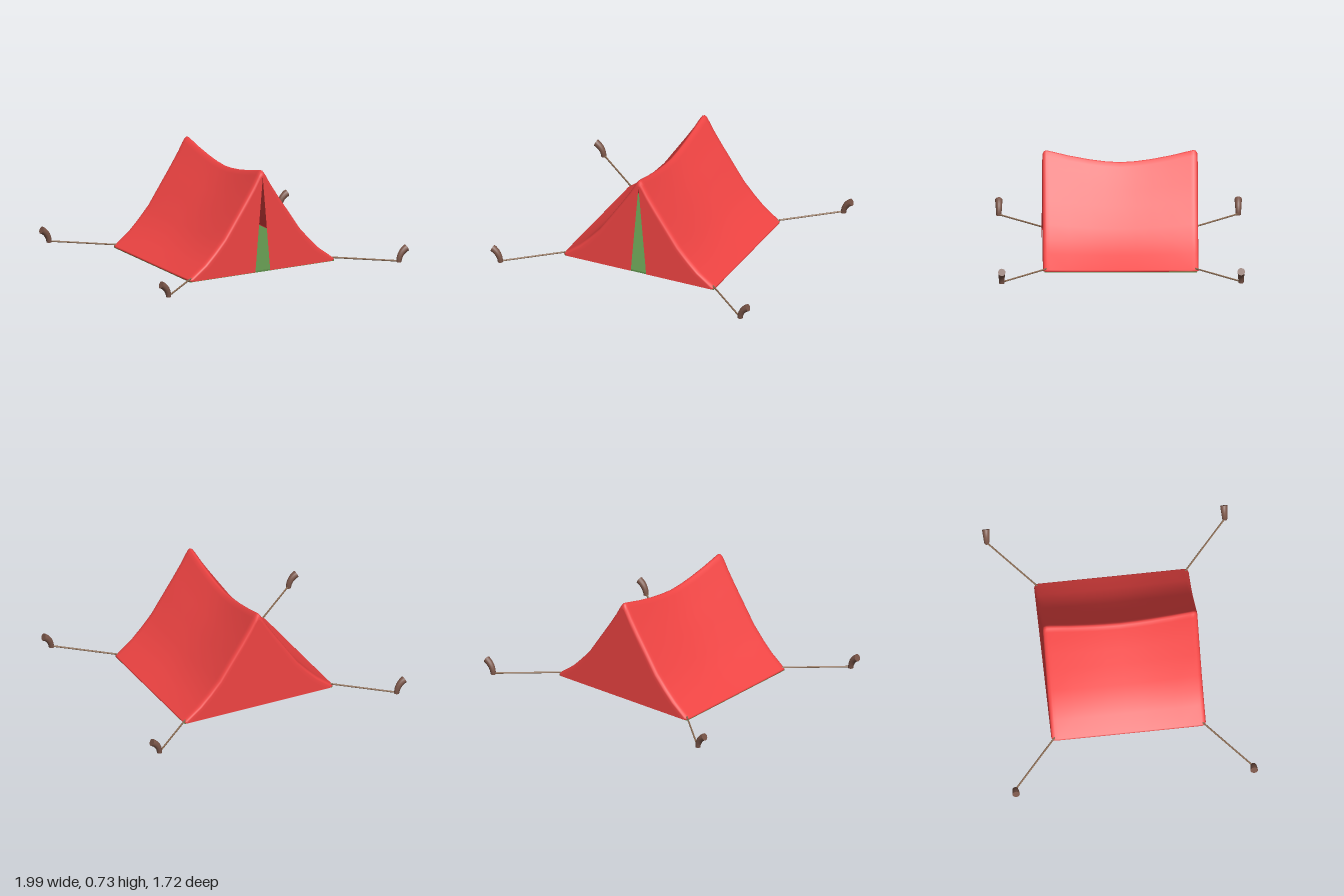
import * as THREE from 'three';
import { mergeVertices } from 'three/addons/utils/BufferGeometryUtils.js';

const red = new THREE.MeshStandardMaterial({ color: 0xf04443, side: THREE.DoubleSide });
const green = new THREE.MeshStandardMaterial({ color: 0x5f914c });
const brown = new THREE.MeshStandardMaterial({ color: 0x795548 });
const tan = new THREE.MeshStandardMaterial({ color: 0x8d6e55 });

// Half outline of the gable, from ridge to hem
const PROFILE = [
  [0, 0.728], [0.012, 0.722], [0.03, 0.695], [0.064, 0.634], [0.13, 0.532], [0.203, 0.425],
  [0.305, 0.275], [0.385, 0.185], [0.465, 0.105], [0.578, 0.02], [0.584, 0.012], [0.578, 0.005],
];
const BASE = 0.005;

// Ridge height dips towards the middle of the tent
const sag = (z) => (0.64 + 0.088 * Math.min(1, Math.abs(z) / 0.51) ** 1.6) / 0.728;

// Half width of the door slit at a given height
const slit = (y) => Math.max(0, 0.06 * (1 - y / 0.68));

// Stations from back to front: z, shrink of the outline, and blend towards the centre line
function stations() {
  const end = [
    [0.54, 0.055, 1], [0.54, 0.055, 0.5], [0.54, 0.055, 0.08], [0.54, 0.05, 0], [0.536, 0.026, 0],
    [0.527, 0.009, 0], [0.512, 0.001, 0], [0.49, 0, 0], [0.36, 0, 0], [0.22, 0, 0], [0.11, 0, 0],
  ];
  const back = end.map(([z, s, b]) => [-z, s, b]);
  return [...back, [0, 0, 0], ...end.reverse()];
}

// Canvas: one smooth skin of two mirrored halves, open at the door
function canvasGeometry() {
  const rows = stations(), n = PROFILE.length;
  const pos = [], index = [];
  for (const side of [1, -1]) {
    const start = pos.length / 3;
    for (const [z, shrink, blend] of rows) {
      for (const [px, py] of PROFILE) {
        const y = BASE + (py - BASE) * (1 - shrink) * sag(z);
        const outer = px * (1 - shrink);
        const inner = z > 0 ? Math.min(outer, slit(y)) : 0;
        pos.push(side * (outer + (inner - outer) * blend), y, z);
      }
    }
    for (let i = 0; i < rows.length - 1; i++) {
      for (let j = 0; j < n - 1; j++) {
        const a = start + i * n + j, b = a + 1, c = a + n, d = c + 1;
        if (side > 0) index.push(a, c, b, b, c, d);
        else index.push(a, b, c, b, d, c);
      }
    }
  }
  const geo = new THREE.BufferGeometry();
  geo.setAttribute('position', new THREE.Float32BufferAttribute(pos, 3));
  geo.setIndex(index);
  const welded = mergeVertices(geo, 1e-4);
  welded.computeVertexNormals();
  return welded;
}

// Peg: a flaring cylinder bent outwards along an arc
function pegGeometry() {
  const geo = new THREE.CylinderGeometry(0.026, 0.018, 1, 16, 8);
  const p = geo.attributes.position, R = 0.105;
  for (let i = 0; i < p.count; i++) {
    const a = (p.getY(i) + 0.5) * THREE.MathUtils.degToRad(65);
    const r = R - p.getX(i);
    p.setXY(i, R - r * Math.cos(a), r * Math.sin(a));
  }
  geo.computeVertexNormals();
  return geo;
}

function rope(from, to) {
  const dir = to.clone().sub(from);
  const mesh = new THREE.Mesh(new THREE.CylinderGeometry(0.006, 0.006, dir.length(), 8), tan);
  mesh.position.copy(from).add(to).multiplyScalar(0.5);
  mesh.quaternion.setFromUnitVectors(new THREE.Vector3(0, 1, 0), dir.normalize());
  return mesh;
}

export function createModel() {
  const model = new THREE.Group();
  model.name = 'tent';

  const canvas = new THREE.Mesh(canvasGeometry(), red);
  canvas.name = 'canvas';
  model.add(canvas);

  // Groundsheet
  const floor = new THREE.Mesh(new THREE.BoxGeometry(1.15, 0.012, 1.06), green);
  floor.name = 'groundsheet';
  floor.position.y = 0.006;
  model.add(floor);

  // A rope and a peg at each corner
  const pegGeo = pegGeometry();
  for (const sx of [1, -1]) {
    for (const sz of [1, -1]) {
      const corner = new THREE.Group();
      corner.name = `${sz > 0 ? 'front' : 'back'}${sx > 0 ? 'Left' : 'Right'}Anchor`;
      const peg = new THREE.Mesh(pegGeo, brown);
      peg.name = 'peg';
      peg.position.set(sx * 0.924, 0.016, sz * 0.832);
      if (sx < 0) peg.rotation.y = Math.PI;
      const line = rope(
        new THREE.Vector3(sx * 0.555, 0.024, sz * 0.51),
        new THREE.Vector3(sx * 0.92, 0.024, sz * 0.832),
      );
      line.name = 'rope';
      corner.add(peg, line);
      model.add(corner);
    }
  }
  return model;
}
